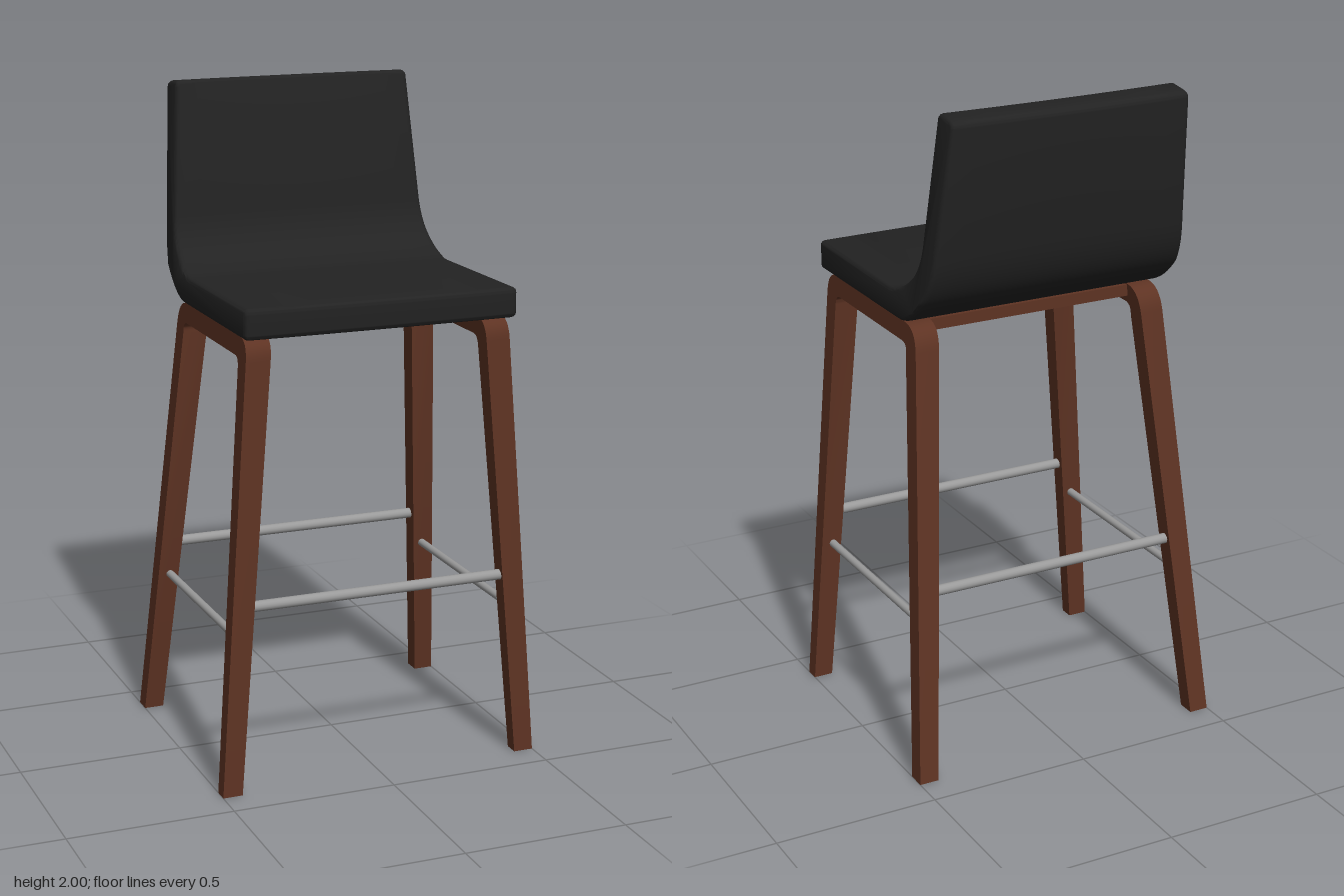
import * as THREE from 'three';
import { toCreasedNormals } from 'three/addons/utils/BufferGeometryUtils.js';

const fabric = new THREE.MeshStandardMaterial({ color: 0x222222 });
fabric.name = 'black upholstery';
const wood = new THREE.MeshStandardMaterial({ color: 0x5e3323 });
wood.name = 'walnut wood';
const steel = new THREE.MeshStandardMaterial({ color: 0x9a9a9a });
steel.name = 'brushed steel';

// Extrudes a (z, y) side profile across x, centred on x = 0, then moves each vertex by a rule.
function extrudeProfile(shape, options, width, rule, crease) {
  const g = new THREE.ExtrudeGeometry(shape, { depth: width, ...options });
  g.translate(0, 0, -width / 2);
  g.rotateY(Math.PI / 2);
  const p = g.attributes.position;
  const v = new THREE.Vector3();
  for (let i = 0; i < p.count; i++) {
    v.fromBufferAttribute(p, i);
    rule(v);
    p.setXYZ(i, v.x, v.y, v.z);
  }
  return toCreasedNormals(g, crease);
}

// Shape whose points are given as (z, y); three numbers pairs after a control point make a curve.
function profile(steps) {
  const s = new THREE.Shape();
  steps.forEach(([z, y, z2, y2], i) => {
    if (i === 0) s.moveTo(-z, y);
    else if (z2 === undefined) s.lineTo(-z, y);
    else s.quadraticCurveTo(-z, y, -z2, y2);
  });
  s.closePath();
  return s;
}

function add(parent, name, geometry, material) {
  const m = new THREE.Mesh(geometry, material);
  m.name = name;
  parent.add(m);
  return m;
}

function rod(parent, name, a, b, radius) {
  const m = add(parent, name, new THREE.CylinderGeometry(radius, radius, a.distanceTo(b), 16), steel);
  m.position.copy(a).add(b).multiplyScalar(0.5);
  m.quaternion.setFromUnitVectors(new THREE.Vector3(0, 1, 0), b.clone().sub(a).normalize());
}

// Leg frames lean outward and taper toward the floor.
const frameX = (y) => 0.47 - 0.076 * y;
const frameHalf = (y) => 0.03 + 0.0056 * y;

export function createModel() {
  const stool = new THREE.Group();
  stool.name = 'barStool';

  // Padded shell: seat bending up into the backrest
  const shell = profile([
    [0.405, 1.375], [0.405, 1.43], [0.405, 1.447, 0.388, 1.447],
    [-0.07, 1.443], [-0.145, 1.443, -0.213, 1.508], [-0.247, 1.54, -0.258, 1.6],
    [-0.307, 1.98], [-0.309, 1.998, -0.328, 1.998],
    [-0.375, 1.992], [-0.402, 1.99, -0.4, 1.965],
    [-0.346, 1.6], [-0.332, 1.49, -0.278, 1.435], [-0.205, 1.357, -0.13, 1.357],
    [0.388, 1.357], [0.405, 1.357, 0.405, 1.375],
  ]);
  const shellGeometry = extrudeProfile(
    shell,
    { steps: 12, curveSegments: 10, bevelEnabled: true, bevelThickness: 0.016, bevelSize: 0.012, bevelOffset: -0.012, bevelSegments: 3 },
    0.808,
    (v) => {
      const bow = 1 - (v.x / 0.42) ** 2;
      const rise = THREE.MathUtils.clamp((v.y - 1.45) / 0.55, 0, 1);
      if (v.z > 0.3) v.z += 0.005 * bow;
      v.z -= 0.009 * bow * rise;
      v.x *= 1 - 0.11 * Math.pow(rise, 0.75);
    },
    0.6,
  );
  add(stool, 'seatShell', shellGeometry, fabric);

  // Side frames: front leg, top rail and raked back leg in one bent piece
  const frame = profile([
    [0.405, 0], [0.38, 1.29], [0.378, 1.354, 0.32, 1.354],
    [-0.15, 1.354], [-0.218, 1.354, -0.229, 1.28], [-0.405, 0], [-0.35, 0],
    [-0.168, 1.26], [-0.173, 1.295, -0.135, 1.295],
    [0.29, 1.295], [0.316, 1.295, 0.318, 1.265], [0.36, 0],
  ]);
  for (const side of [1, -1]) {
    const g = extrudeProfile(frame, { steps: 1, curveSegments: 8, bevelEnabled: false }, 2, (v) => {
      v.x = side * frameX(v.y) + v.x * frameHalf(v.y);
    }, 0.6);
    add(stool, side > 0 ? 'leftLegFrame' : 'rightLegFrame', g, wood);
  }

  // Cross rails under the seat
  for (const [name, z] of [['frontCrossRail', 0.18], ['backCrossRail', -0.13]]) {
    add(stool, name, new THREE.BoxGeometry(0.69, 0.035, 0.05), wood).position.set(0, 1.333, z);
  }

  // Thick foot bars at front and back, thin stretchers at the sides
  for (const [name, z] of [['frontFootBar', 0.37], ['backFootBar', -0.3]]) {
    rod(stool, name, new THREE.Vector3(-0.41, 0.565, z), new THREE.Vector3(0.41, 0.565, z), 0.016);
  }
  for (const side of [1, -1]) {
    rod(stool, side > 0 ? 'leftStretcher' : 'rightStretcher',
      new THREE.Vector3(side * 0.43, 0.465, 0.365), new THREE.Vector3(side * 0.43, 0.465, -0.305), 0.012);
  }
  return stool;
}
